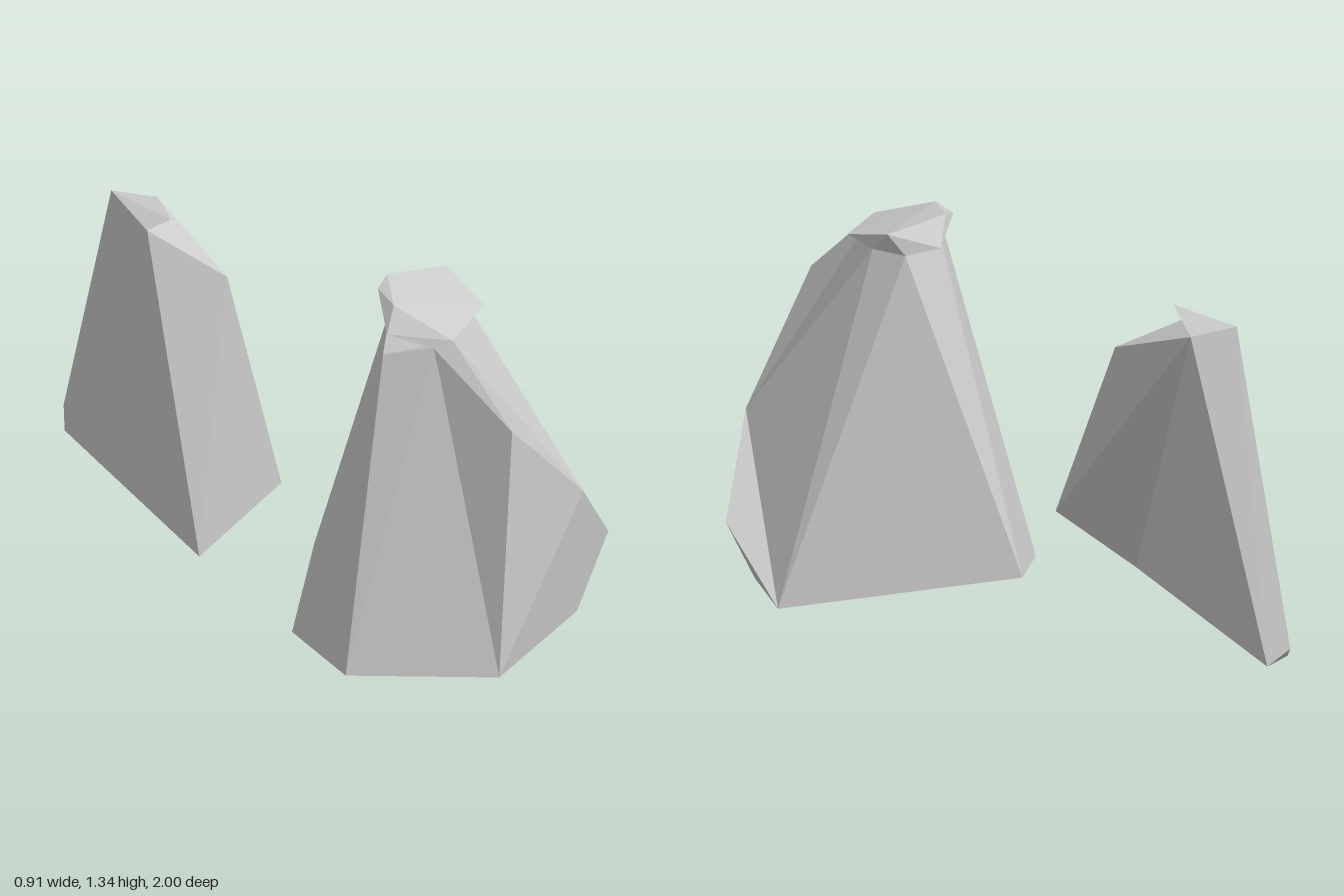
import * as THREE from 'three';
import { ConvexGeometry } from 'three/addons/geometries/ConvexGeometry.js';

export function createModel() {
  const model = new THREE.Group();
  model.name = 'rockPair';
  const stone = new THREE.MeshStandardMaterial({ color: 0xcccccc, flatShading: true });
  stone.name = 'grey stone';

  // A faceted chunk of stone spanned by its corner points
  const chunk = (name, corners, parent) => {
    const geometry = new ConvexGeometry(corners.map(c => new THREE.Vector3(...c)));
    const mesh = new THREE.Mesh(geometry, stone);
    mesh.name = name;
    parent.add(mesh);
  };

  // Broad front rock: corners shared by its chunks
  const frontRock = new THREE.Group();
  frontRock.name = 'frontRock';
  const footFront = [-0.16, 0.015, 0.955], footRight = [0.285, 0.015, 0.92];
  const footSide = [0.455, 0.02, 0.71], belly = [0.22, 0.58, 1.0];
  const neckFront = [-0.10, 1.24, 0.71], neckNotch = [-0.14, 1.21, 0.66];
  const neckRing = [[-0.07, 1.22, 0.42], [0.11, 1.23, 0.44], [0.125, 1.23, 0.56]];

  chunk('frontRockBody', [
    [-0.06, 0.10, 0.09], [-0.39, 0.01, 0.265], [-0.455, 0, 0.545],
    footFront, footRight, footSide, belly,
    neckFront, neckNotch, [-0.23, 1.17, 0.52], ...neckRing,
  ], frontRock);
  // Bulge on the chest, leaving a crease beside it
  chunk('frontRockChest', [footFront, belly, neckFront, neckNotch, [-0.10, 0.985, 0.96]], frontRock);
  // Bulge at the foot
  chunk('frontRockToe', [footRight, footSide, belly, footFront, [0.43, 0.265, 0.935]], frontRock);
  // Cap flaring out from the neck
  chunk('frontRockCap', [
    neckFront, neckNotch, ...neckRing,
    [0.11, 1.25, 0.67], [0.14, 1.305, 0.49], [0.03, 1.25, 0.355],
    [0.01, 1.315, 0.41], [-0.05, 1.335, 0.39], [-0.11, 1.315, 0.40],
    [-0.15, 1.255, 0.47], [-0.15, 1.315, 0.50], [-0.21, 1.24, 0.52],
  ], frontRock);
  model.add(frontRock);

  // Thin leaning slab behind: corners shared by its chunks
  const backRock = new THREE.Group();
  backRock.name = 'backRock';
  const footLeft = [-0.35, 0.095, -0.16], ridgeMid = [-0.015, 1.16, -0.61];
  const ridgeLeft = [-0.18, 1.16, -0.52], ridgeBack = [-0.115, 1.19, -0.725];

  chunk('backRockBody', [
    footLeft, [-0.025, 0.135, -1.0], [0.035, 0.08, -0.95], [-0.075, 0.08, -0.955],
    ridgeMid, ridgeBack, ridgeLeft,
  ], backRock);
  // Wedge facing the front rock
  chunk('backRockWedge', [
    footLeft, [-0.12, 0.34, 0], [-0.065, 1.02, -0.275], ridgeMid, ridgeLeft,
  ], backRock);
  // Small peak along the ridge
  chunk('backRockPeak', [[-0.125, 1.20, -0.465], ridgeMid, ridgeBack, ridgeLeft], backRock);
  model.add(backRock);

  return model;
}
